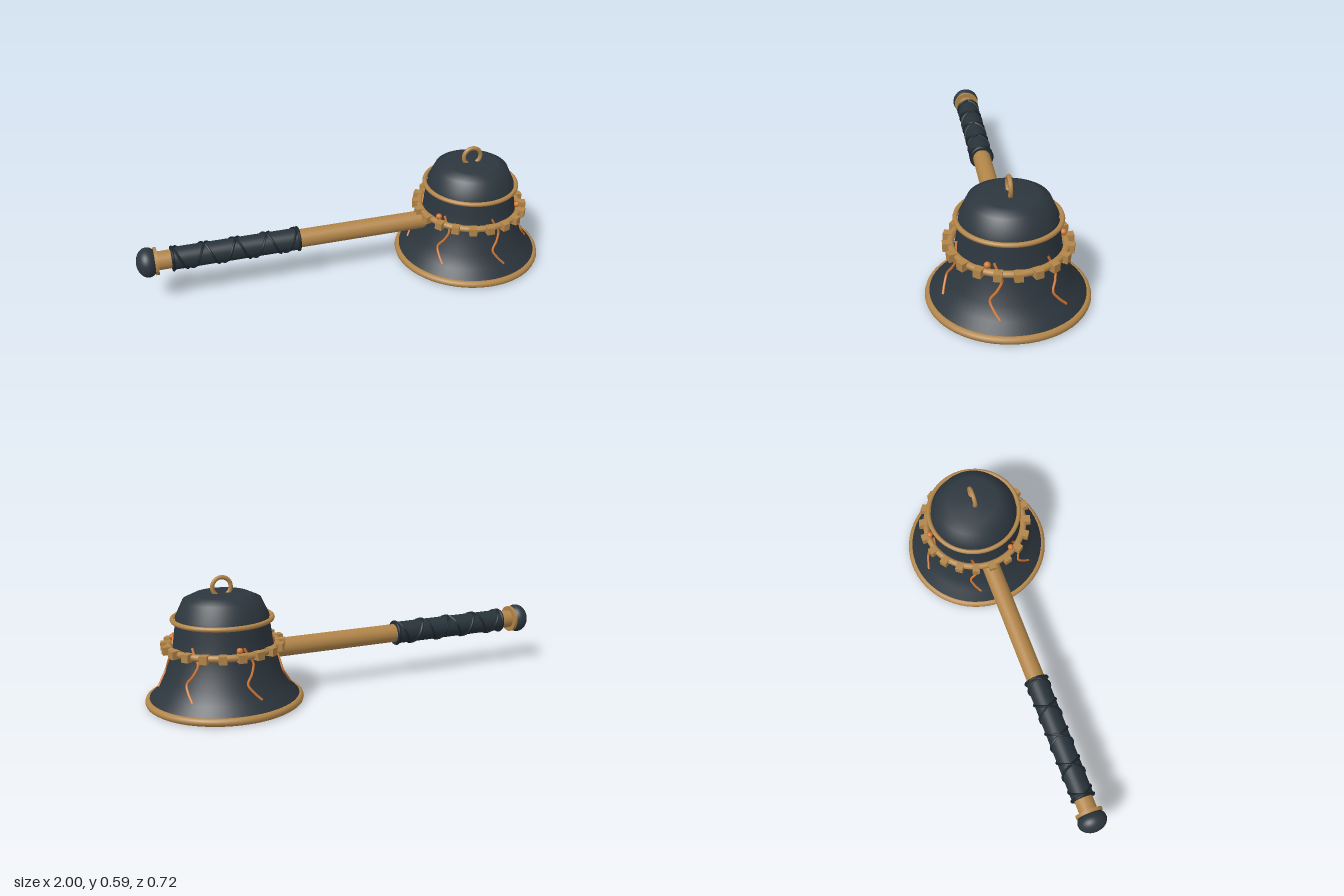
import * as THREE from 'three';

const mat = (name, color, side = THREE.FrontSide) => {
  const m = new THREE.MeshStandardMaterial({ color, side });
  m.name = name;
  return m;
};

// Outer bell wall, bottom to top: [radius, height]
const WALL = [[0.345, 0.03], [0.3, 0.073], [0.268, 0.135], [0.247, 0.195], [0.23, 0.25],
  [0.219, 0.32], [0.212, 0.38], [0.209, 0.408], [0.175, 0.48], [0.124, 0.504]];

// Wall radius at a given height
function wallRadius(y) {
  for (let i = 1; i < WALL.length; i++) {
    const [r0, y0] = WALL[i - 1], [r1, y1] = WALL[i];
    if (y <= y1) return r0 + (r1 - r0) * (y - y0) / (y1 - y0);
  }
  return 0;
}

export function createModel() {
  const steel = mat('darkSteel', 0x2d363e, THREE.DoubleSide);
  const brass = mat('brass', 0xb28549);
  const ember = mat('emberOrange', 0xd0752f);
  const leather = mat('gripLeather', 0x27333a);
  const cord = mat('gripCord', 0x1c252b);

  const root = new THREE.Group();
  const bell = new THREE.Group();
  bell.name = 'bell';
  bell.position.x = 0.64;
  const handle = new THREE.Group();
  handle.name = 'handle';
  handle.position.y = 0.22;
  root.add(bell, handle);

  const add = (parent, name, geo, material, x = 0, y = 0, z = 0) => {
    const m = new THREE.Mesh(geo, material);
    m.name = name;
    m.position.set(x, y, z);
    parent.add(m);
    return m;
  };
  const hoop = (name, radius, tube, y) =>
    add(bell, name, new THREE.TorusGeometry(radius, tube, 10, 64).rotateX(Math.PI / 2), brass, 0, y);

  // Bell shell: inner wall down to the lip, then outer wall up to the crown
  const inner = WALL.slice(0, 8).reverse().map(([r, y]) => [r - 0.015, y]);
  const profile = [[0, 0.408], ...inner, ...WALL, [0.001, 0.505]];
  add(bell, 'bellShell', new THREE.LatheGeometry(profile.map(p => new THREE.Vector2(...p)), 64), steel);

  // Bands and hanging loop
  hoop('mouthRim', 0.342, 0.018, 0.018);
  hoop('shoulderBand', 0.223, 0.011, 0.392);
  hoop('gearRing', 0.245, 0.016, 0.27);
  add(bell, 'hangingLoop', new THREE.TorusGeometry(0.043, 0.01, 10, 32), brass, 0, 0.533);

  // Teeth round the gear ring
  for (let i = 0; i < 20; i++) {
    const a = i * Math.PI / 10;
    const tooth = add(bell, 'gearTooth', new THREE.BoxGeometry(0.04, 0.036, 0.036), brass,
      Math.cos(a) * 0.26, 0.27, Math.sin(a) * 0.26);
    tooth.rotation.y = -a;
  }

  // Glowing cracks that wander down the wall
  const wobble = [[0.305, 4], [0.27, 0], [0.235, -5], [0.19, -1], [0.15, 5], [0.115, 1], [0.08, -5]];
  for (let i = 0; i < 6; i++) {
    const points = wobble.map(([y, d]) => {
      const a = THREE.MathUtils.degToRad(20 + i * 60 + d), r = wallRadius(y) + 0.002;
      return new THREE.Vector3(Math.cos(a) * r, y, Math.sin(a) * r);
    });
    add(bell, 'glowingCrack', new THREE.TubeGeometry(new THREE.CatmullRomCurve3(points), 32, 0.006, 6), ember);
  }

  // Ember beads above the gear ring
  for (let i = 0; i < 3; i++) {
    const a = Math.PI / 6 + i * Math.PI * 2 / 3;
    add(bell, 'emberBead', new THREE.SphereGeometry(0.015, 10, 8), ember,
      Math.cos(a) * 0.236, 0.296, Math.sin(a) * 0.236);
  }

  // Glowing core and clapper inside the mouth
  add(bell, 'glowingCore', new THREE.CylinderGeometry(0.2, 0.2, 0.01, 48), ember, 0, 0.175);
  add(bell, 'clapperRod', new THREE.CylinderGeometry(0.012, 0.012, 0.1, 12), steel, 0, 0.125);
  add(bell, 'clapperBall', new THREE.SphereGeometry(0.052, 24, 16), steel, 0, 0.085);

  // Handle parts lie along x
  const rod = (name, r, x0, x1, material) =>
    add(handle, name, new THREE.CylinderGeometry(r, r, x1 - x0, 32).rotateZ(Math.PI / 2), material, (x0 + x1) / 2);
  rod('shaft', 0.044, -0.93, 0.43, brass);
  rod('pommelCollar', 0.065, -0.917, -0.902, brass);
  rod('grip', 0.053, -0.84, -0.23, leather);
  const pommel = add(handle, 'pommel', new THREE.SphereGeometry(0.07, 32, 20), steel, -0.948);
  pommel.scale.x = 0.75;

  // Cords: an end loop at each side and two crossing spirals
  for (const x of [-0.834, -0.237])
    add(handle, 'gripEndCord', new THREE.TorusGeometry(0.054, 0.007, 8, 32).rotateY(Math.PI / 2), cord, x);
  for (const dir of [1, -1]) {
    const points = [];
    for (let i = 0; i <= 64; i++) {
      const a = dir * i / 64 * Math.PI * 8;
      points.push(new THREE.Vector3(-0.83 + 0.59 * i / 64, Math.cos(a) * 0.054, Math.sin(a) * 0.054));
    }
    add(handle, 'gripCord', new THREE.TubeGeometry(new THREE.CatmullRomCurve3(points), 160, 0.006, 6), cord);
  }
  return root;
}
